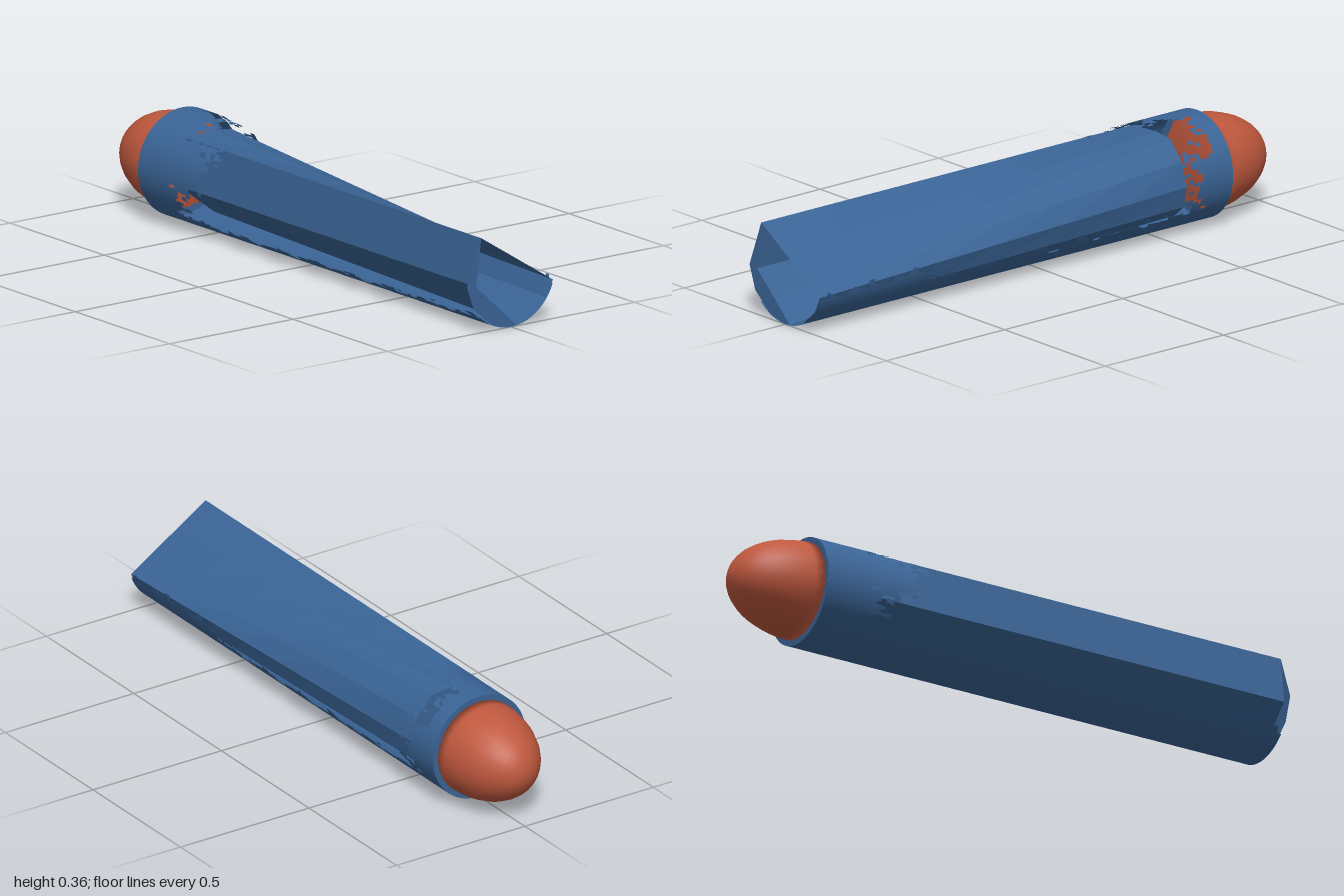
import * as THREE from 'three';

const CY = 0.18, R = 0.18, BACK = -0.74, TUBE_BACK = -0.57;

function createNoise(seed) {
  let s = seed;
  return () => { s = (s * 16807) % 2147483647; return s / 2147483647 - 0.5; };
}

function addMesh(group, name, geometry, material) {
  const mesh = new THREE.Mesh(geometry, material);
  mesh.name = name;
  group.add(mesh);
  return mesh;
}

// Straight-sided tube lofted between two matching outlines
function loft(a, b, za, zb, steps) {
  const n = a.length, pos = [], index = [];
  for (let i = 0; i <= steps; i++) {
    const t = i / steps;
    for (let j = 0; j < n; j++) {
      pos.push(a[j][0] + (b[j][0] - a[j][0]) * t, a[j][1] + (b[j][1] - a[j][1]) * t, za + (zb - za) * t);
    }
  }
  for (let i = 0; i < steps; i++) {
    for (let j = 0; j < n; j++) {
      const p = i * n + j, q = i * n + (j + 1) % n;
      index.push(p, q, p + n, q, q + n, p + n);
    }
  }
  const g = new THREE.BufferGeometry();
  g.setAttribute('position', new THREE.Float32BufferAttribute(pos, 3));
  g.setIndex(index);
  g.computeVertexNormals();
  return g;
}

function flat(points, z) {
  const g = new THREE.ShapeGeometry(new THREE.Shape(points.map(p => new THREE.Vector2(...p))));
  return g.translate(0, 0, z);
}

// Decides where the torn outer skin survives (angle in degrees, 0 = +x, 90 = up)
function skinExists(deg, z) {
  if (deg > -132 && deg < (z > 0.5 ? -17 : -33)) return true;
  if (deg >= 85 && deg < 132) return z < -0.5;
  if (deg >= 132 && deg < 185) return z < -0.4;
  if (deg >= 30 && deg < 85) return z < -0.67;
  if (deg >= -33 && deg < 30) return z < -0.57;
  return z < -0.52;
}

// Cylindrical skin with ragged, jittered borders
function tornSkin() {
  const A = 96, L = 84, noise = createNoise(71), pos = [], nor = [], index = [];
  for (let i = 0; i <= L; i++) {
    for (let j = 0; j <= A; j++) {
      const edge = i === 0 || i === L || j === 0 || j === A;
      const a = THREE.MathUtils.degToRad(-140 + (j + (edge ? 0 : noise() * 0.6)) * 360 / A);
      const z = BACK + (i + (edge ? 0 : noise() * 0.6)) * (1 - BACK) / L;
      pos.push(R * Math.cos(a), CY + R * Math.sin(a), z);
      nor.push(Math.cos(a), Math.sin(a), 0);
    }
  }
  for (let i = 0; i < L; i++) {
    for (let j = 0; j < A; j++) {
      const z = BACK + (i + 0.5) * (1 - BACK) / L;
      const deg = -140 + (j + 0.5) * 360 / A;
      const wave = Math.sin(z * 31 + deg * 0.11) + Math.sin(z * 67 - deg * 0.23);
      const dz = z < BACK + 0.06 ? 0 : noise() * 0.1 + wave * 0.015;
      if (!skinExists(deg + wave * 3 + noise() * 5, z + dz)) continue;
      const p = i * (A + 1) + j, q = p + A + 1;
      index.push(p, p + 1, q, p + 1, q + 1, q);
    }
  }
  const g = new THREE.BufferGeometry();
  g.setAttribute('position', new THREE.Float32BufferAttribute(pos, 3));
  g.setAttribute('normal', new THREE.Float32BufferAttribute(nor, 3));
  g.setIndex(index);
  return g;
}

export function createModel() {
  const group = new THREE.Group();
  const blue = new THREE.MeshStandardMaterial({ color: 0x3a6496, side: THREE.DoubleSide });
  const blueFlat = new THREE.MeshStandardMaterial({ color: 0x3a6496, side: THREE.DoubleSide, flatShading: true });
  const red = new THREE.MeshStandardMaterial({ color: 0xbf583e, side: THREE.DoubleSide });

  // Tube: its slanted front chord bulges out into a rounded back
  const front = [[-0.12, 0.315], [-0.004, 0.241], [0.068, 0.195], [0.126, 0.158], [0.17, 0.13],
    [0.145, 0.075], [0.09, 0.027], [0.02, 0.004], [-0.06, 0.08], [-0.14, 0.155]];
  const back = [[-0.12, 0.315], [0, 0.322], [0.07, 0.312], [0.125, 0.25], [0.15, 0.17],
    [0.135, 0.1], [0.09, 0.06], [0, 0.048], [-0.07, 0.1], [-0.14, 0.155]];
  addMesh(group, 'tube', loft(front, back, 1, TUBE_BACK, 6), blueFlat);
  addMesh(group, 'tubeEnd', flat(back, TUBE_BACK), blueFlat);

  // Flat lip on the left and underside of the open mouth
  addMesh(group, 'mouthLip', flat([[-0.12, 0.315], [-0.178, 0.16], [-0.15, 0.08], [-0.07, 0.014],
    [0, 0], [0.02, 0.004], [-0.06, 0.08], [-0.14, 0.155]], 1), blueFlat);

  // Torn outer skin and the ring that closes the collar
  addMesh(group, 'tornSkin', tornSkin(), blue);
  const ring = addMesh(group, 'collarRing', new THREE.RingGeometry(0.155, R, 64), blue);
  ring.position.set(0, CY, BACK);

  // Rounded nose with a closed base
  const profile = [new THREE.Vector2(0, 0)];
  for (let i = 0; i <= 12; i++) {
    const t = i / 12 * Math.PI / 2;
    profile.push(new THREE.Vector2(Math.max(0, 0.162 * Math.cos(t)), 0.26 * Math.sin(t)));
  }
  const nose = addMesh(group, 'nose', new THREE.LatheGeometry(profile, 24), red);
  nose.rotation.x = -Math.PI / 2;
  nose.position.set(0, CY, BACK);

  return group;
}
